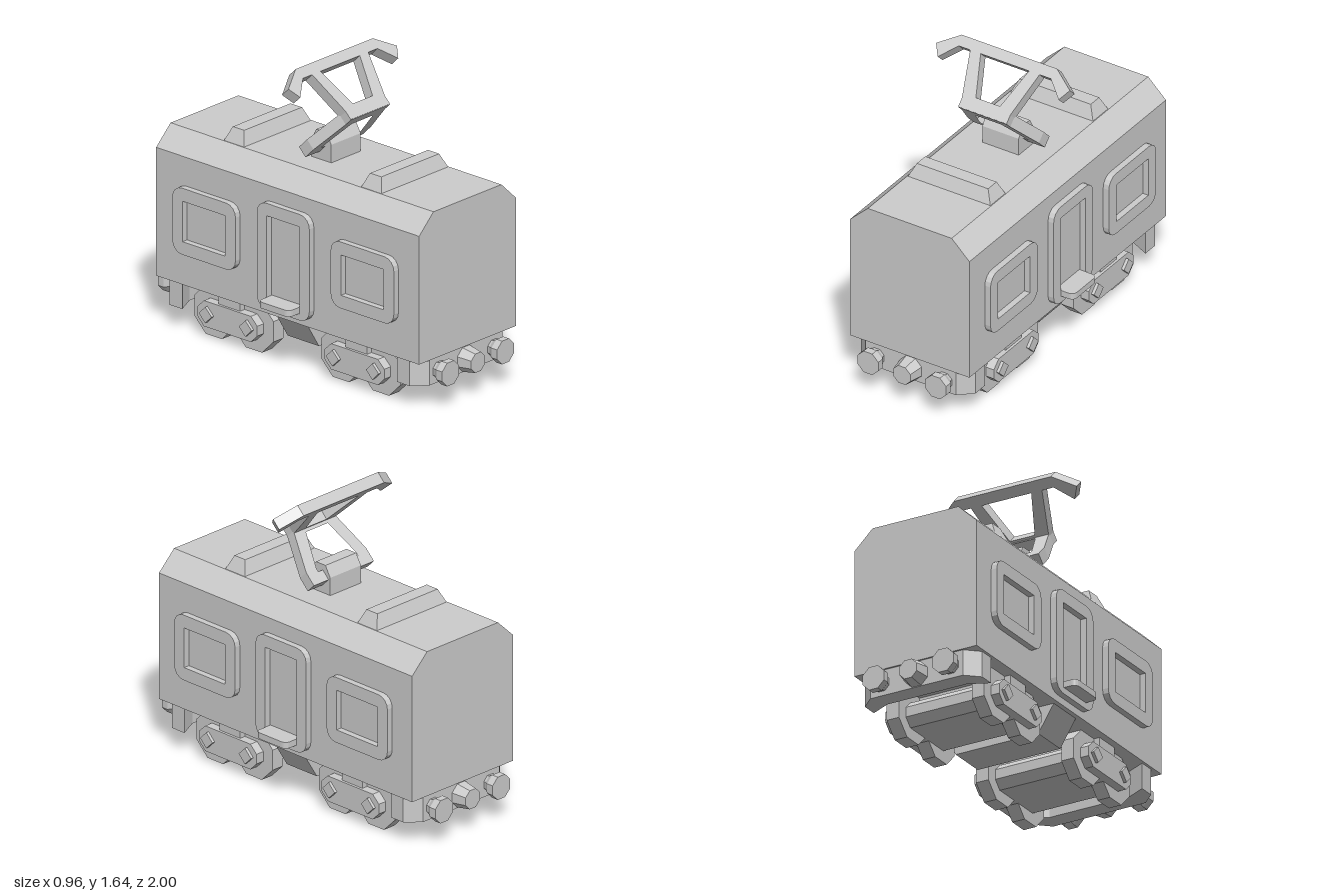
import * as THREE from 'three';

const material = new THREE.MeshStandardMaterial({ color: 0xcccccc, flatShading: true });

function add(parent, name, geometry, x = 0, y = 0, z = 0) {
  const mesh = new THREE.Mesh(geometry, material);
  mesh.name = name;
  mesh.position.set(x, y, z);
  parent.add(mesh);
  return mesh;
}

const polygon = (points) => new THREE.Shape(points.map(([a, b]) => new THREE.Vector2(a, b)));

// Closes a half outline by mirroring it across the first axis
const mirrored = (half) => polygon([...half, ...half.map(([a, b]) => [-a, b]).reverse()]);

// Extrusion centred on its own depth
function extrude(shape, depth) {
  const g = new THREE.ExtrudeGeometry(shape, { depth, bevelEnabled: false, curveSegments: 2 });
  return g.translate(0, 0, -depth / 2);
}

// Outline in (z, y), extruded across x
const extrudeX = (shape, width) => extrude(shape, width).rotateY(-Math.PI / 2);

function roundedRect(w, h, r) {
  const a = w / 2, b = h / 2, s = new THREE.Shape();
  s.moveTo(-a + r, -b);
  s.lineTo(a - r, -b);
  s.absarc(a - r, -b + r, r, -Math.PI / 2, 0);
  s.lineTo(a, b - r);
  s.absarc(a - r, b - r, r, 0, Math.PI / 2);
  s.lineTo(-a + r, b);
  s.absarc(-a + r, b - r, r, Math.PI / 2, Math.PI);
  s.lineTo(-a, -b + r);
  s.absarc(-a + r, -b + r, r, Math.PI, Math.PI * 1.5);
  return s;
}

// Rounded frame with a rectangular opening
function frame(w, h, r, openW, openH, shift = 0) {
  const s = roundedRect(w, h, r), a = openW / 2, b = openH / 2;
  s.holes.push(new THREE.Path([[-a, -b], [-a, b], [a, b], [a, -b]]
    .map(([x, y]) => new THREE.Vector2(x, y + shift))));
  return extrudeX(s, 0.045);
}

// Box whose top face is scaled
function taperedBox(w, h, d, topX, topZ) {
  const g = new THREE.BoxGeometry(w, h, d), p = g.attributes.position;
  for (let i = 0; i < p.count; i++) {
    if (p.getY(i) > 0) p.setXYZ(i, p.getX(i) * topX, p.getY(i), p.getZ(i) * topZ);
  }
  return g;
}

function buildBogie() {
  const bogie = new THREE.Group();
  bogie.name = 'bogie';
  const hull = mirrored([[0.165, 0.065], [0.21, 0.11], [0.21, 0.165], [0.165, 0.208]]);
  add(bogie, 'bogieFrame', extrudeX(hull, 0.69));
  add(bogie, 'bogieMount', new THREE.BoxGeometry(0.66, 0.09, 0.15), 0, 0.235, 0);
  for (const x of [-1, 1]) for (const z of [-1, 1]) {
    const wheel = new THREE.CylinderGeometry(0.149, 0.149, 0.075, 8).rotateY(Math.PI / 8).rotateZ(Math.PI / 2);
    add(bogie, 'wheel', wheel, x * 0.258, 0.138, z * 0.141);
    const cap = new THREE.CylinderGeometry(0.045, 0.045, 0.03, 4).rotateZ(Math.PI / 2);
    add(bogie, 'axleCap', cap, x * 0.347, 0.138, z * 0.141);
  }
  return bogie;
}

// Bumper and buffers for the +z end
function buildEnd() {
  const end = new THREE.Group();
  end.name = 'endBumper';
  const plan = mirrored([[0.28, -0.915], [0.355, -0.845], [0.355, -0.755], [0.24, -0.81]]);
  add(end, 'bumperBeam', extrude(plan, 0.15).rotateX(-Math.PI / 2), 0, 0.2, 0);
  const turn = (g) => g.rotateY(Math.PI / 8).rotateX(Math.PI / 2);
  for (const s of [-1, 1]) {
    const profile = [[0, -0.1], [0.045, -0.1], [0.05, -0.07], [0.07, -0.04], [0.07, 0], [0, 0]]
      .map(([r, y]) => new THREE.Vector2(r, y));
    add(end, 'buffer', turn(new THREE.LatheGeometry(profile, 8)), s * 0.21, 0.195, 1);
  }
  add(end, 'coupler', turn(new THREE.CylinderGeometry(0.057, 0.075, 0.1, 8)), 0, 0.195, 0.95);
  return end;
}

function buildPantograph() {
  const group = new THREE.Group();
  group.name = 'pantograph';
  add(group, 'pantographBase', extrudeX(mirrored([[0.07, 1.08], [0.07, 1.19], [0.035, 1.25]]), 0.225));

  // Upper arm with the wide contact bar
  const upper = mirrored([[0.15, -0.03], [0.15, 0.02], [0.215, 0.27], [0.285, 0.27],
    [0.375, 0.18], [0.415, 0.245], [0.295, 0.33]]);
  upper.holes.push(new THREE.Path([[-0.075, 0.045], [-0.15, 0.27], [0.15, 0.27], [0.075, 0.045]]
    .map(([x, y]) => new THREE.Vector2(x, y))));
  const top = add(group, 'pantographUpperArm', extrude(upper, 0.064), 0, 1.387, 0.198);
  top.rotation.x = -Math.PI / 4;

  // Lower arm with legs turned in at the foot
  const lower = mirrored([[0.15, 0.03], [0.15, -0.02], [0.22, -0.25], [0.22, -0.33]]);
  lower.holes.push(new THREE.Path([[-0.08, -0.05], [0.08, -0.05], [0.145, -0.25], [0.145, -0.27],
    [-0.145, -0.27], [-0.145, -0.25]].map(([x, y]) => new THREE.Vector2(x, y))));
  const bottom = add(group, 'pantographLowerArm', extrude(lower, 0.064), 0, 1.387, 0.198);
  bottom.rotation.x = Math.PI / 4;
  return group;
}

export function createModel() {
  const model = new THREE.Group();
  model.name = 'railcar';

  // Car body with chamfered roof edges
  const section = mirrored([[0.37, 0.27], [0.37, 0.985], [0.26, 1.09]]);
  add(model, 'body', extrude(section, 1.85));

  // Roof vents
  for (const z of [-0.483, 0.483]) {
    add(model, 'roofVent', taperedBox(0.52, 0.085, 0.15, 0.85, 0.53), 0, 1.1225, z);
  }

  // Windows, doors and steps on both sides
  for (const side of [-1, 1]) {
    const x = side * 0.3825;
    for (const z of [-0.557, 0.557]) {
      add(model, 'windowFrame', frame(0.445, 0.37, 0.065, 0.3, 0.225), x, 0.64, z);
    }
    add(model, 'doorFrame', frame(0.37, 0.59, 0.065, 0.23, 0.485, -0.017), x, 0.605, 0);
    const step = extrude(roundedRect(0.24, 0.22, 0.03), 0.035).rotateX(Math.PI / 2);
    add(model, 'doorStep', step, side * 0.36, 0.3625, 0);
  }

  // Underframe
  add(model, 'underfloorBox', taperedBox(0.5, 0.16, 0.22, 1.4, 1), 0, 0.2, 0);
  for (const z of [-0.447, 0.447]) {
    const bogie = buildBogie();
    bogie.position.z = z;
    model.add(bogie);
  }
  for (const angle of [0, Math.PI]) {
    const end = buildEnd();
    end.rotation.y = angle;
    model.add(end);
  }

  model.add(buildPantograph());
  return model;
}
